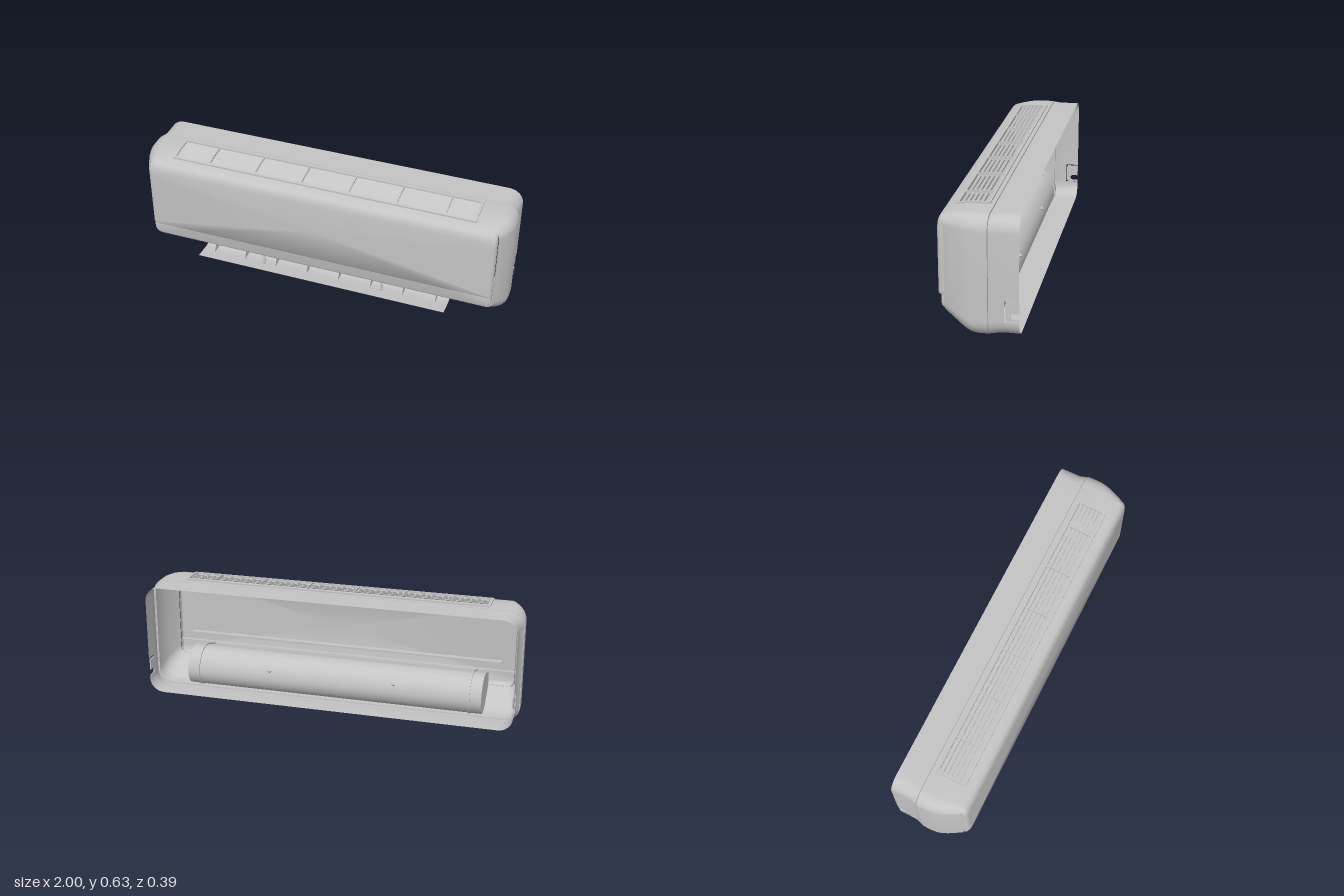
import * as THREE from 'three';
import { toCreasedNormals } from 'three/addons/utils/BufferGeometryUtils.js';

const casing = new THREE.MeshStandardMaterial({ color: 0xc4c4c4, side: THREE.DoubleSide });
casing.name = 'casing grey';

// Rounded rectangle section; the straight edges carry extra points for openings
function section([z, x, yb, yt, r, rb = r]) {
  const pts = [];
  const corner = (cx, cy, rad, start) => {
    for (let i = 0; i <= 6; i++) {
      const a = start + (i / 6) * Math.PI / 2;
      pts.push([cx + rad * Math.cos(a), cy + rad * Math.sin(a), z]);
    }
  };
  const low = Math.max(0.106, yb + rb + 0.002), high = Math.max(0.212, yb + rb + 0.004);
  corner(x - rb, yb + rb, rb, -Math.PI / 2);
  pts.push([x, low, z], [x, high, z]);
  corner(x - r, yt - r, r, 0);
  pts.push([0.815, yt, z], [-0.815, yt, z]);
  corner(-x + r, yt - r, r, Math.PI / 2);
  pts.push([-x, high, z], [-x, low, z]);
  corner(-x + rb, yb + rb, rb, Math.PI);
  pts.push([-0.7, yb, z], [0.7, yb, z]);
  return pts;
}

// Skin over sections, leaving out the quads for which isHole(row z, next z, segment) is true
function loft(rows, { cap = false, isHole = () => false, crease = 0.6 } = {}) {
  const loops = rows.map(section), n = loops[0].length;
  const pos = loops.flat(2), index = [];
  for (let i = 0; i < rows.length - 1; i++) {
    for (let j = 0; j < n; j++) {
      if (isHole(rows[i][0], rows[i + 1][0], j)) continue;
      const a = i * n + j, b = i * n + (j + 1) % n;
      index.push(a, b, b + n, a, b + n, a + n);
    }
  }
  if (cap) {
    const last = rows[rows.length - 1], base = (rows.length - 1) * n;
    pos.push(0, (last[2] + last[3]) / 2, last[0]);
    for (let j = 0; j < n; j++) index.push(base + j, base + (j + 1) % n, base + n);
  }
  const g = new THREE.BufferGeometry();
  g.setAttribute('position', new THREE.Float32BufferAttribute(pos, 3));
  g.setIndex(index);
  return toCreasedNormals(g, crease);
}

// Solid with a [z, y] outline, running from x0 to x1
function prism(outline, x0, x1) {
  const shape = new THREE.Shape(outline.map(([z, y]) => new THREE.Vector2(-z, y)));
  const g = new THREE.ExtrudeGeometry(shape, { depth: x1 - x0, bevelEnabled: false });
  return toCreasedNormals(g.rotateY(Math.PI / 2).translate(x0, 0, 0), 0.6);
}

const smooth = (pts, n) => new THREE.SplineCurve(pts.map(p => new THREE.Vector2(...p)))
  .getPoints(n).map(p => [p.x, p.y]);

const grilleY = z => 0.628 - 0.95 * Math.max(0, z - 0.02) ** 2;

export function createModel() {
  const model = new THREE.Group();
  model.name = 'wallAirConditioner';
  const add = (name, geometry, parent = model) => {
    const mesh = new THREE.Mesh(geometry, casing);
    mesh.name = name;
    parent.add(mesh);
    return mesh;
  };
  const group = name => {
    const g = new THREE.Group();
    g.name = name;
    model.add(g);
    return g;
  };

  // Open-backed shell: rear frame, seam groove, rounded front cover
  add('shell', loft([
    [-0.197, 0.984, 0.025, 0.618, 0.075],
    [-0.127, 0.984, 0.025, 0.618, 0.075],
    [-0.09, 0.985, 0.022, 0.618, 0.075],
    [-0.07, 0.992, 0.02, 0.618, 0.075],
    [-0.056, 0.996, 0.02, 0.618, 0.075],
    [-0.055, 0.986, 0.028, 0.61, 0.07],
    [-0.052, 0.986, 0.028, 0.61, 0.07],
    [-0.051, 0.999, 0.02, 0.619, 0.075],
    [-0.03, 1, 0.02, 0.62, 0.075],
    [0, 1, 0.02, 0.62, 0.075],
    [0.03, 0.998, 0.025, 0.62, 0.073],
    [0.06, 0.992, 0.039, 0.618, 0.07],
    [0.09, 0.982, 0.06, 0.615, 0.066],
    [0.125, 0.967, 0.085, 0.609, 0.06],
    [0.15, 0.955, 0.104, 0.602, 0.05],
    [0.163, 0.947, 0.115, 0.597, 0.04],
    [0.157, 0.942, 0.12, 0.592, 0.035],
  ], {
    isHole: (z0, z1, j) =>
      (j === 16 && z0 >= -0.03 && z1 <= 0.125) ||          // air intake
      (j === 34 && z0 >= 0 && z1 <= 0.125) ||              // air outlet
      ((j === 7 || j === 25) && z1 <= -0.127),             // pipe notches
  }));

  // Front: recessed lower strip behind a raised upper panel
  add('lowerFrontPanel', loft([
    [0.157, 0.94, 0.118, 0.594, 0.035],
    [0.17, 0.94, 0.122, 0.592, 0.035],
    [0.179, 0.937, 0.13, 0.588, 0.035],
    [0.182, 0.93, 0.138, 0.582, 0.03],
  ], { cap: true }));
  add('upperFrontPanel', loft([
    [0.163, 0.941, 0.2, 0.599, 0.035, 0.006],
    [0.176, 0.94, 0.2, 0.594, 0.035, 0.006],
    [0.186, 0.937, 0.2, 0.584, 0.035, 0.006],
    [0.193, 0.931, 0.202, 0.569, 0.033, 0.006],
    [0.197, 0.92, 0.207, 0.545, 0.03, 0.006],
  ], { cap: true, crease: 0.75 }));
  add('innerLedge', new THREE.BoxGeometry(1.74, 0.01, 0.03).translate(0, 0.25, 0.165));

  // Intake grille: curved frame, slanted slats and cross ribs
  const grille = group('intakeGrille');
  const strip = (z0, z1, thick) => {
    const zs = Array.from({ length: 9 }, (_, i) => z0 + (z1 - z0) * i / 8);
    return [...zs.map(z => [z, grilleY(z)]), ...zs.reverse().map(z => [z, grilleY(z) - thick])];
  };
  add('grilleRearRail', prism(strip(-0.032, -0.02, 0.014), -0.82, 0.82), grille);
  add('grilleFrontRail', prism(strip(0.116, 0.13, 0.014), -0.82, 0.82), grille);
  for (const s of [-1, 1])
    add('grilleEndRail', prism(strip(-0.032, 0.13, 0.014), s * 0.813 - 0.007, s * 0.813 + 0.007), grille);
  for (let i = 0; i < 6; i++) {
    const z = -0.008 + i * 0.0225;
    const slat = add('grilleSlat', new THREE.BoxGeometry(1.62, 0.003, 0.02), grille);
    slat.position.set(0, grilleY(z) - 0.012, z);
    slat.rotation.x = 0.45;
  }
  for (let i = 0; i < 6; i++) {
    const x = -0.615 + i * 0.255;
    add('grilleRib', prism(strip(-0.025, 0.122, 0.02), x - 0.003, x + 0.003), grille);
  }

  // Curved air duct above the outlet, with end plates and small studs
  const duct = group('airDuct');
  const curve = smooth([[0, 0.022], [-0.06, 0.045], [-0.09, 0.1], [-0.08, 0.165],
    [-0.035, 0.215], [0.025, 0.23], [0.09, 0.215], [0.155, 0.19]], 36);
  const inner = curve.map(([z, y]) => [z + (0.03 - z) * 0.04, y + (0.1 - y) * 0.04]).reverse();
  add('ductWall', prism([...curve, ...inner], -0.8, 0.8), duct);
  for (const s of [-1, 1]) {
    add('ductEndPlate', prism([...curve, [0.155, 0.115], [0.125, 0.087], [0.06, 0.042]],
      s * 0.8 - 0.004, s * 0.8 + 0.004), duct);
    const rim = curve.map(([z, y]) => [0.03 + (z - 0.03) * 1.06, 0.1 + (y - 0.1) * 1.06]);
    add('ductRim', prism([...rim, ...inner], s * 0.74 - 0.004, s * 0.74 + 0.004), duct);
    const stud = add('ductStud', new THREE.OctahedronGeometry(0.014), duct);
    stud.position.set(s * 0.34, 0.165, -0.08);
  }

  // Swinging outlet flap with triangular fins and support arms
  const flap = group('outletFlap');
  const under = smooth([[-0.002, 0.021], [0.03, 0.007], [0.065, 0.001], [0.105, 0.003], [0.162, 0.009]], 20);
  const upper = under.map(([z, y]) => [z, y + 0.003]).reverse();
  add('flapBlade', prism([...under, ...upper], -0.697, 0.697), flap);
  for (let i = 0; i < 8; i++) {
    const x = -0.63 + i * 0.18;
    add('flapFin', prism([[0.01, 0.018], [0.06, 0.004], [0.108, 0.006], [0.085, 0.045], [0.05, 0.05]],
      x - 0.003, x + 0.003), flap);
  }
  for (const s of [-1, 1]) {
    add('flapArm', prism([[0.094, 0.005], [0.106, 0.005], [0.098, 0.085], [0.09, 0.085]],
      s * 0.335 - 0.005, s * 0.335 + 0.005), flap);
    const pin = add('flapPin', new THREE.CylinderGeometry(0.007, 0.007, 0.02, 12), flap);
    pin.rotation.z = Math.PI / 2;
    pin.position.set(s * 0.335, 0.02, 0.1);
  }

  // Knock-out plates with a rounded slot, set in the side notches
  const plate = new THREE.Shape();
  plate.moveTo(0.197, 0.209);
  plate.lineTo(0.144, 0.209);
  plate.quadraticCurveTo(0.132, 0.209, 0.132, 0.197);
  plate.lineTo(0.132, 0.122);
  plate.quadraticCurveTo(0.132, 0.11, 0.144, 0.11);
  plate.lineTo(0.197, 0.11);
  plate.lineTo(0.197, 0.119);
  plate.lineTo(0.169, 0.119);
  plate.absarc(0.169, 0.134, 0.015, -Math.PI / 2, Math.PI / 2, true);
  plate.lineTo(0.197, 0.149);
  for (const s of [-1, 1]) {
    const g = new THREE.ExtrudeGeometry(plate, { depth: 0.006, bevelEnabled: false, curveSegments: 10 });
    add('pipePlate', g.rotateY(Math.PI / 2).translate(s * 0.978 - 0.003, 0, 0));
  }

  return model;
}
